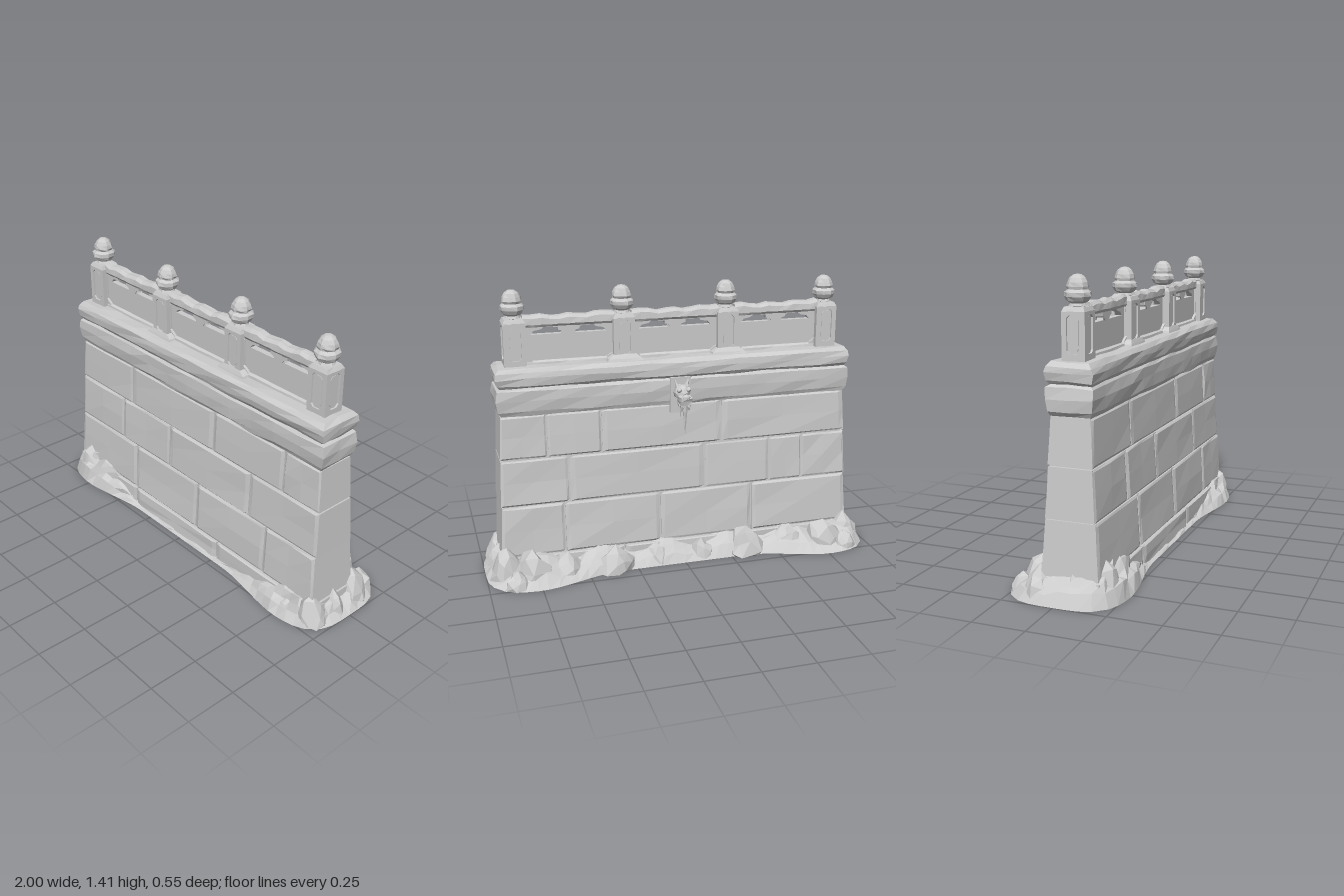
import * as THREE from 'three';

const MID = 0.045; // z of the wall's centre line
const lerp = THREE.MathUtils.lerp;
const smooth = THREE.MathUtils.smoothstep;

// Repeatable noise in -0.5..0.5 from a position
function noise(x, y, z) {
  const s = Math.sin(Math.round(x * 500) * 12.9898 + Math.round(y * 500) * 78.233 + Math.round(z * 500) * 37.719) * 43758.5453;
  return s - Math.floor(s) - 0.5;
}

// Move every vertex by a rule
function warp(geo, rule) {
  const p = geo.attributes.position, v = new THREE.Vector3();
  for (let i = 0; i < p.count; i++) {
    rule(v.fromBufferAttribute(p, i));
    p.setXYZ(i, v.x, v.y, v.z);
  }
  return geo;
}

function rough(geo, amount) {
  return warp(geo, v => {
    const { x, y, z } = v;
    v.x += noise(x, y, z) * amount;
    v.y += noise(y + 1, z, x) * amount;
    v.z += noise(z + 2, x, y) * amount;
  });
}

function polygon(points) {
  return new THREE.Shape(points.map(p => new THREE.Vector2(p[0], p[1])));
}

function extrude(shape, depth) {
  return new THREE.ExtrudeGeometry(shape, { depth, bevelEnabled: false });
}

// Stack of rectangular sections, rows = [y, half length, back z, front z]
function stack(rows, nx, wear) {
  const n = rows.length - 1;
  const geo = warp(new THREE.BoxGeometry(1, 1, 1, nx, n, 2), v => {
    const [y, half, back, front] = rows[Math.round((v.y + 0.5) * n)];
    v.set(v.x * 2 * half, y, lerp(back, front, v.z + 0.5));
  });
  return rough(geo, wear);
}

export function createModel() {
  const stone = new THREE.MeshStandardMaterial({ color: 0xcccccc });
  stone.name = 'stone';
  const model = new THREE.Group();
  model.name = 'stoneWall';

  const group = (name, parent = model) => {
    const g = new THREE.Group();
    g.name = name;
    parent.add(g);
    return g;
  };
  const add = (geo, name, parent = model, x = 0, y = 0, z = 0) => {
    const flat = geo.index ? geo.toNonIndexed() : geo;
    flat.computeVertexNormals();
    const mesh = new THREE.Mesh(flat, stone);
    mesh.name = name;
    mesh.position.set(x, y, z);
    parent.add(mesh);
    return mesh;
  };

  // Inner core seen only in the joints
  add(stack([[0.01, 0.905, -0.085, 0.175], [0.36, 0.895, -0.07, 0.155], [0.83, 0.875, -0.045, 0.125]], 1, 0), 'core');

  // Courses: y range, half length and depth from the centre line at foot and top, joints
  const courses = [
    { y: [0, 0.1], half: [0.93, 0.925], depth: [0.15, 0.147], front: [-0.4, 0.26], back: [0.3, -0.35] },
    { y: [0.107, 0.36], half: [0.92, 0.905], depth: [0.14, 0.124], front: [-0.41, 0.09, 0.585], back: [0.6, 0.11, -0.38] },
    { y: [0.365, 0.595], half: [0.91, 0.9], depth: [0.122, 0.108], front: [-0.53, -0.14, 0.46], back: [0.57, -0.13, -0.48, -0.66] },
    { y: [0.603, 0.815], half: [0.9, 0.888], depth: [0.11, 0.098], front: [-0.45, 0.19, 0.67], back: [0.67, 0.4, -0.22] },
  ];
  const masonry = group('masonry');
  for (const c of courses) {
    for (const side of [1, -1]) {
      const joints = (side > 0 ? c.front : c.back).slice().sort((a, b) => a - b);
      const cuts = [-1, ...joints, 1];
      for (let i = 0; i < cuts.length - 1; i++) {
        const geo = warp(new THREE.BoxGeometry(1, 1, 1, 4, 4, 1), v => {
          // Pull the second row of vertices close to the edge to form a chamfer
          const ease = t => (Math.abs(t) === 0.25 ? Math.sign(t) * 0.46 : t);
          const edge = Math.abs(v.x) === 0.5 || Math.abs(v.y) === 0.5;
          const ty = ease(v.y) + 0.5, tx = ease(v.x) + 0.5;
          const half = lerp(c.half[0], c.half[1], ty);
          const left = i === 0 ? -half : cuts[i] + 0.004;
          const right = i === cuts.length - 2 ? half : cuts[i + 1] - 0.004;
          const outer = (v.z > 0) === (side > 0);
          const depth = lerp(c.depth[0], c.depth[1], ty) - (edge ? 0.006 : 0);
          const x = lerp(left, right, tx), y = lerp(c.y[0], c.y[1], ty);
          const wear = edge ? 0.002 : 0.007;
          v.set(x, y, MID + (outer ? side * (depth + noise(x, y, side) * wear) : 0));
        });
        add(geo, side > 0 ? 'frontBlock' : 'backBlock', masonry);
      }
    }
  }

  // Rounded moulding and coping slab
  add(stack([
    [0.815, 0.885, -0.05, 0.138], [0.835, 0.9, -0.058, 0.148], [0.89, 0.906, -0.064, 0.153],
    [0.94, 0.9, -0.062, 0.15], [0.953, 0.885, -0.05, 0.138],
  ], 12, 0.008), 'moulding');
  add(stack([
    [0.95, 0.885, -0.05, 0.138], [0.966, 0.9, -0.063, 0.15], [1.0, 0.906, -0.066, 0.155],
    [1.028, 0.902, -0.062, 0.152], [1.048, 0.885, -0.045, 0.135],
  ], 12, 0.008), 'coping');

  // Balustrade posts with recessed panels and bud finials
  const posts = [-0.797, -0.266, 0.266, 0.797];
  const frame = polygon([[-0.054, 0], [0.054, 0], [0.054, 0.21], [-0.054, 0.21]]);
  const insetShape = (w, b, t, c) => [
    [-w, b + c], [-w, t - c], [-w + c, t], [w - c, t], [w, t - c], [w, b + c], [w - c, b], [-w + c, b],
  ];
  frame.holes.push(polygon(insetShape(0.031, 0.03, 0.195, 0.014)));
  const buds = [[0, 0.99], [0.038, 1.0], [0.032, 1.012], [0.048, 1.022], [0.058, 1.04], [0.057, 1.058], [0.044, 1.07],
    [0.048, 1.082], [0.045, 1.1], [0.034, 1.118], [0.018, 1.131], [0, 1.134]];
  posts.forEach((x, i) => {
    const post = group('post', model);
    post.position.set(x, 1.045, MID);
    add(new THREE.BoxGeometry(0.09, 0.2, 0.09), 'postCore', post, 0, 0.1, 0);
    for (let k = 0; k < 4; k++) {
      const a = k * Math.PI / 2;
      const f = add(extrude(frame, 0.01), 'postFrame', post, Math.sin(a) * 0.044, 0, Math.cos(a) * 0.044);
      f.rotation.y = a;
      const p = add(extrude(polygon(insetShape(0.023, 0.04, 0.185, 0.012)), 0.004), 'postPanel', post, Math.sin(a) * 0.044, 0, Math.cos(a) * 0.044);
      p.rotation.y = a;
    }
    add(stack([[0.208, 0.054, -0.054, 0.054], [0.228, 0.044, -0.044, 0.044]], 1, 0.002), 'postTop', post);
    const bud = new THREE.LatheGeometry(buds.map(p => new THREE.Vector2(p[0], p[1] - 0.77)), 9);
    add(warp(bud, v => {
      const s = 1 + noise(v.x, v.y, v.z) * 0.1;
      v.x *= s;
      v.z *= s;
    }), 'finial', post);
    // Flared foot under the two middle posts
    if (i === 1 || i === 2) add(stack([[-0.01, 0.095, -0.082, 0.07], [0.012, 0.085, -0.072, 0.064], [0.03, 0.056, -0.056, 0.056]], 1, 0.004), 'postFoot', post);
  });

  // Pierced panels, corner pieces and worn handrails between the posts
  for (let i = 0; i < 3; i++) {
    const bay = group('bay');
    bay.position.set((posts[i] + posts[i + 1]) / 2, 0, MID);
    const w = 0.222;
    const panel = polygon([[-w, 1.04], [w, 1.04], [w, 1.25], [-w, 1.25]]);
    for (const s of [-1, 1]) {
      panel.holes.push(polygon([
        [s * 0.185, 1.19], [s * 0.035, 1.19], [s * 0.03, 1.203], [s * 0.052, 1.208],
        [s * 0.056, 1.222], [s * 0.12, 1.226], [s * 0.135, 1.214], [s * 0.17, 1.208],
      ]));
      add(extrude(polygon([[s * w, 1.04], [s * 0.165, 1.04], [s * 0.19, 1.07], [s * w, 1.09]].slice()), 0.056), 'cornerPiece', bay, 0, 0, -0.028);
    }
    add(extrude(panel, 0.03), 'piercedPanel', bay, 0, 0, -0.015);
    // Cloud bracket in the opening
    add(extrude(polygon([[-0.02, 1.188], [0.02, 1.188], [0.034, 1.205], [0.052, 1.21], [0.054, 1.23], [-0.054, 1.23], [-0.052, 1.21], [-0.034, 1.205]]), 0.04), 'cloudBracket', bay, 0, 0, -0.02);
    add(stack([[1.04, w, -0.034, 0.034], [1.058, w, -0.03, 0.03], [1.064, w, -0.018, 0.018]], 4, 0.003), 'bottomSill', bay);
    const rail = stack([[1.228, w, -0.024, 0.024], [1.24, w, -0.032, 0.032], [1.266, w, -0.03, 0.03], [1.28, w, -0.016, 0.016]], 10, 0.003);
    add(warp(rail, v => {
      if (v.y > 1.25) v.y += 0.008 * (v.x / w) ** 2 + 0.005 * Math.sin(v.x * 45 + i);
    }), 'handrail', bay);
  }

  // Beast-head water spout at the back
  const spout = group('spout');
  const ball = (r, sx, sy, sz) => rough(new THREE.IcosahedronGeometry(r, 1).scale(sx, sy, sz), r * 0.15);
  add(new THREE.BoxGeometry(0.105, 0.18, 0.022), 'spoutPlate', spout, 0, 0.865, -0.06);
  add(ball(0.045, 0.95, 0.9, 1), 'head', spout, 0, 0.885, -0.095);
  add(rough(new THREE.BoxGeometry(0.058, 0.035, 0.075, 2, 2, 2), 0.008), 'snout', spout, 0, 0.862, -0.143).rotation.x = -0.12;
  add(ball(0.018, 1.1, 0.8, 0.9), 'nose', spout, 0, 0.877, -0.168);
  add(rough(new THREE.BoxGeometry(0.046, 0.016, 0.06, 2, 1, 2), 0.006), 'lowerJaw', spout, 0, 0.823, -0.125).rotation.x = -0.25;
  for (const s of [-1, 1]) {
    const ear = add(new THREE.ConeGeometry(0.014, 0.05, 5), 'ear', spout, s * 0.028, 0.93, -0.088);
    ear.rotation.set(0.2, 0, -s * 0.3);
    add(ball(0.013, 1, 1, 1), 'brow', spout, s * 0.024, 0.905, -0.128);
    add(new THREE.ConeGeometry(0.006, 0.025, 4), 'fang', spout, s * 0.02, 0.838, -0.165).rotation.x = Math.PI;
  }
  const drip = rough(new THREE.ConeGeometry(0.017, 0.15, 6, 4), 0.006);
  add(drip, 'icicle', spout, 0, 0.76, -0.145).rotation.x = Math.PI;
  add(new THREE.ConeGeometry(0.009, 0.07, 5), 'smallIcicle', spout, 0.018, 0.795, -0.128).rotation.x = Math.PI;

  // Earth skirt: rings from the outer edge up to the wall
  const loop = [];
  const walk = (n, f) => { for (let i = 0; i < n; i++) loop.push(f(-1 + 2 * i / n)); };
  walk(36, t => [t, 1]);
  walk(8, t => [1, -t]);
  walk(36, t => [-t, -1]);
  walk(8, t => [-1, t]);
  const rise = [0, 0.42, 0.66, 0.88, 1];
  const verts = [], faces = [], count = loop.length;
  rise.forEach((r, k) => {
    loop.forEach(([a, b]) => {
      const end = smooth(Math.abs(a), 0.35, 0.85);
      const reach = b > 0 ? 0.215 + 0.06 * end : 0.175 + 0.11 * end;
      const ox = a * Math.sqrt(1 - 0.14 * b ** 4), oz = b * reach * Math.sqrt(1 - 0.3 * a ** 12);
      const high = lerp(0.1 + 0.025 * Math.sin(a * 17), a < 0 ? 0.02 + 0.14 * end : 0.02 + 0.1 * end, (b + 1) / 2);
      const t = k / (rise.length - 1), n = noise(a * 3, k, b * 3);
      const wobble = k > 0 ? 0.022 * n : 0;
      verts.push(lerp(ox, a * 0.88, t) + wobble,
        k ? Math.max(0.006, high * (r + 0.25 * n)) : 0,
        lerp(oz, MID + b * 0.115, t) + wobble);
    });
    if (k === 0) return;
    for (let i = 0; i < count; i++) {
      const j = (i + 1) % count, o = (k - 1) * count, u = k * count;
      faces.push(o + i, o + j, u + j, o + i, u + j, u + i);
    }
  });
  const skirt = new THREE.BufferGeometry();
  skirt.setAttribute('position', new THREE.Float32BufferAttribute(verts, 3));
  skirt.setIndex(faces);
  add(skirt, 'earthSkirt');

  // Boulders: x, z, radius, height
  const boulders = [
    [-0.83, 0.175, 0.075, 0.165], [-0.7, 0.19, 0.055, 0.09], [0.9, 0.16, 0.065, 0.14], [0.78, 0.2, 0.055, 0.07],
    [-0.91, 0.06, 0.055, 0.13], [0.92, 0.04, 0.05, 0.12], [-0.9, -0.1, 0.075, 0.14], [0.9, -0.11, 0.075, 0.15],
    [0.78, -0.16, 0.085, 0.15], [0.6, -0.14, 0.07, 0.11], [0.36, -0.14, 0.08, 0.12], [0.14, -0.11, 0.06, 0.09],
    [-0.1, -0.11, 0.06, 0.09], [-0.34, -0.13, 0.085, 0.13], [-0.58, -0.13, 0.07, 0.1], [-0.76, -0.16, 0.085, 0.13],
    [0.86, -0.22, 0.05, 0.08], [-0.86, -0.21, 0.05, 0.08],
  ];
  const rubble = group('rubble');
  boulders.forEach(([x, z, r, h], i) => {
    const geo = new THREE.IcosahedronGeometry(1, 1).rotateY(i * 1.3);
    rough(geo, 0.28);
    warp(geo, v => v.set(v.x * r * 1.2, Math.max(0, v.y) * h, v.z * r));
    add(geo, 'boulder', rubble, x, 0, z);
  });

  return model;
}
